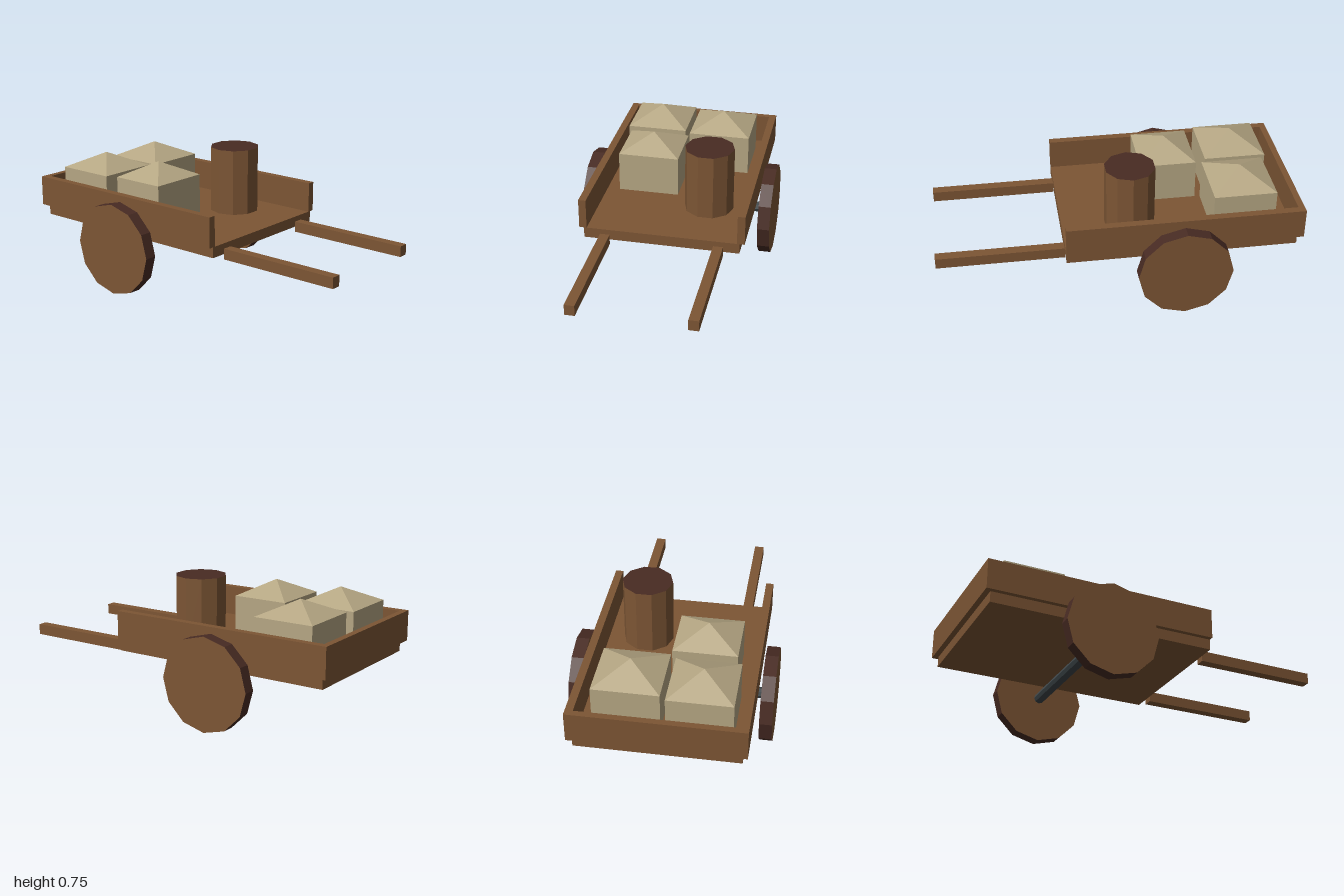
import * as THREE from 'three';

function material(name, color) {
  const m = new THREE.MeshStandardMaterial({ color, flatShading: true });
  m.name = name;
  return m;
}

export function createModel() {
  const wood = material('wood', 0x7c5534);
  const darkWood = material('darkWood', 0x482b23);
  const cloth = material('cloth', 0xb5a683);
  const iron = material('iron', 0x3d4548);

  const cart = new THREE.Group();
  cart.name = 'handcart';

  const add = (name, geometry, mat, parent = cart) => {
    const mesh = new THREE.Mesh(geometry, mat);
    mesh.name = name;
    parent.add(mesh);
    return mesh;
  };

  // Box given by its limits on each axis
  const box = (name, [x0, x1], [y0, y1], [z0, z1], mat, parent) => {
    const mesh = add(name, new THREE.BoxGeometry(x1 - x0, y1 - y0, z1 - z0), mat, parent);
    mesh.position.set((x0 + x1) / 2, (y0 + y1) / 2, (z0 + z1) / 2);
    return mesh;
  };

  // Bed with a back board, open at the front
  box('bed', [-0.435, 0.435], [0.32, 0.38], [-0.97, 0.3], wood);
  box('backBoard', [-0.42, 0.42], [0.38, 0.55], [-1, -0.965], wood);

  // Side boards, handles and wheels, mirrored
  for (const [side, s] of [['left', 1], ['right', -1]]) {
    const span = (a, b) => (s > 0 ? [a, b] : [-b, -a]);
    box(side + 'SideBoard', span(0.42, 0.462), [0.38, 0.55], [-1, 0.3], wood);
    box(side + 'Handle', span(0.29, 0.345), [0.29, 0.35], [0.3, 1], wood);

    const wheel = add(side + 'Wheel', new THREE.CylinderGeometry(0.26, 0.26, 0.07, 12),
      [darkWood, wood, wood]);
    wheel.rotation.z = Math.PI / 2;
    wheel.position.set(s * 0.515, 0.26, -0.335);
  }

  // Axle
  const axle = add('axle', new THREE.CylinderGeometry(0.03, 0.03, 1.08, 8), iron);
  axle.rotation.z = Math.PI / 2;
  axle.position.set(0, 0.26, -0.335);

  // Barrel with dark ends
  const barrel = add('barrel',
    new THREE.CylinderGeometry(0.14, 0.14, 0.375, 10, 1, false, Math.PI / 2),
    [wood, darkWood, darkWood]);
  barrel.position.set(0.2, 0.5675, -0.075);

  // Sacks: a block with a low pyramid top
  const sacks = [
    [[-0.377, -0.03], [-0.888, -0.543]],
    [[0, 0.356], [-0.861, -0.516]],
    [[-0.348, -0.001], [-0.486, -0.168]],
  ];
  sacks.forEach(([xs, zs], i) => {
    const sack = new THREE.Group();
    sack.name = 'sack' + (i + 1);
    cart.add(sack);
    const body = box('sackBody', xs, [0.38, 0.61], zs, cloth, sack);
    const top = add('sackTop',
      new THREE.ConeGeometry(Math.SQRT1_2, 1, 4, 1, true, Math.PI / 4), cloth, sack);
    top.scale.set(xs[1] - xs[0], 0.085, zs[1] - zs[0]);
    top.position.set(body.position.x, 0.6525, body.position.z);
  });

  return cart;
}
